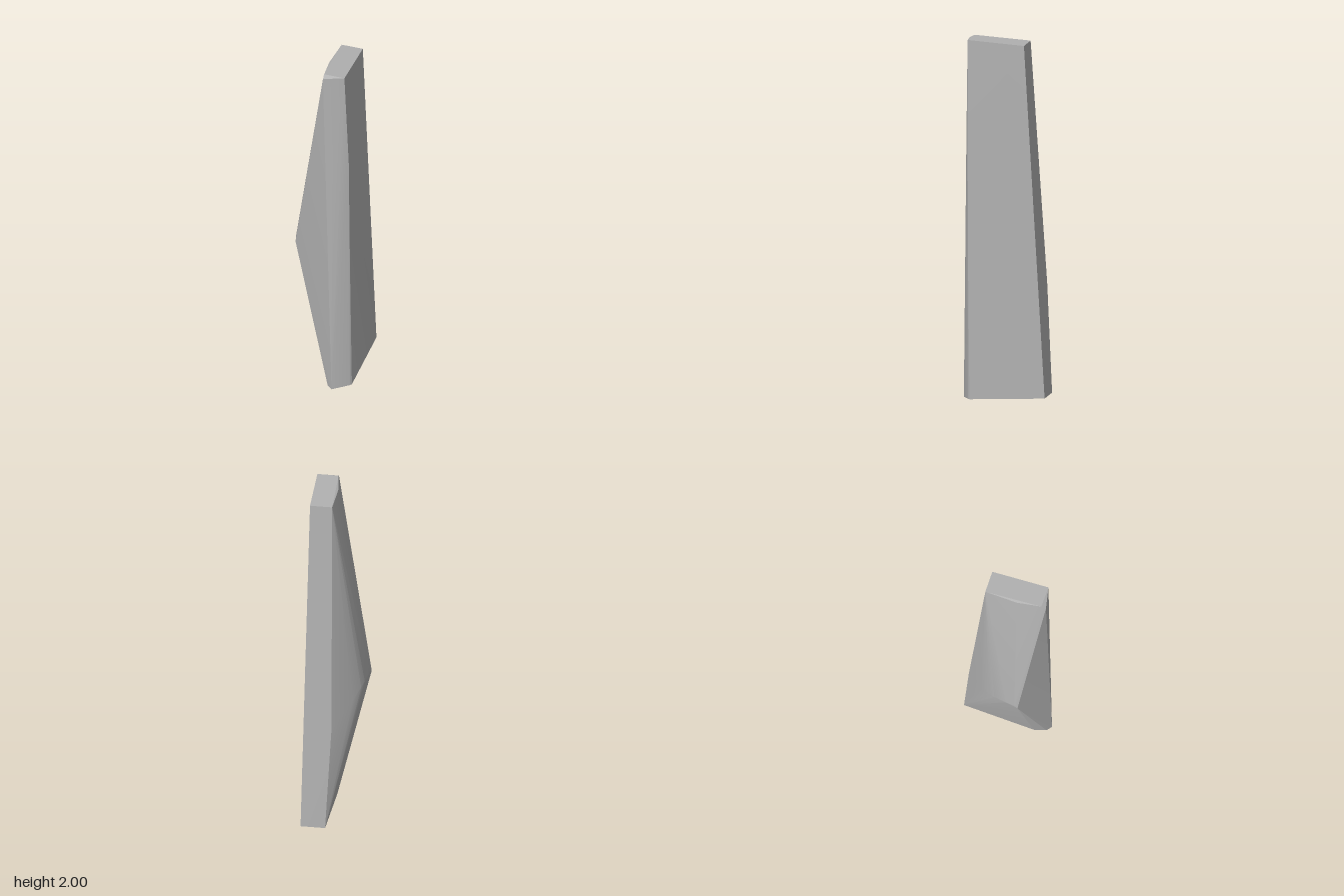
import * as THREE from 'three';
import { ConvexGeometry } from 'three/addons/geometries/ConvexGeometry.js';
import { toCreasedNormals } from 'three/addons/utils/BufferGeometryUtils.js';

export function createModel() {
  const group = new THREE.Group();
  group.name = 'stoneShard';
  const stone = new THREE.MeshStandardMaterial({ color: 0xb0b0b0 });
  stone.name = 'stone grey';

  // Corners of the shard as [x, y, z], grouped by region
  const top = [
    [0, 1.99, -0.11], [0.12, 1.99, -0.115], [0.138, 2, 0.2],
    [0.022, 2, 0.203], [0.025, 1.985, 0.228], [0, 1.99, 0.07],
  ];
  const ridge = [
    [-0.169, 0.83, 0.137], [-0.172, 0.86, 0.12], [-0.172, 0.87, 0.07],
    [-0.158, 0.85, 0], [-0.145, 0.83, -0.035], [-0.11, 0.78, -0.09], [-0.013, 0.65, -0.2],
  ];
  const frontRight = [[0.16, 1.45, 0.192], [0.165, 0.8, 0.188], [0.08, 1.4, 0.228]];
  const bottom = [
    [0.148, 0.05, -0.243], [0.015, 0.05, -0.238], [0.02, 0.035, -0.03], [0.022, 0.025, 0.16],
    [0.05, 0.005, 0.222], [0.08, 0, 0.242], [0.172, 0.015, 0.177], [0.165, 0.015, 0.189],
  ];
  const points = [...top, ...ridge, ...frontRight, ...bottom].map((p) => new THREE.Vector3(...p));

  // Crisp main edges, soft shading across the shallow facets
  const shard = new THREE.Mesh(toCreasedNormals(new ConvexGeometry(points), 0.3), stone);
  shard.name = 'shard';
  group.add(shard);
  return group;
}
